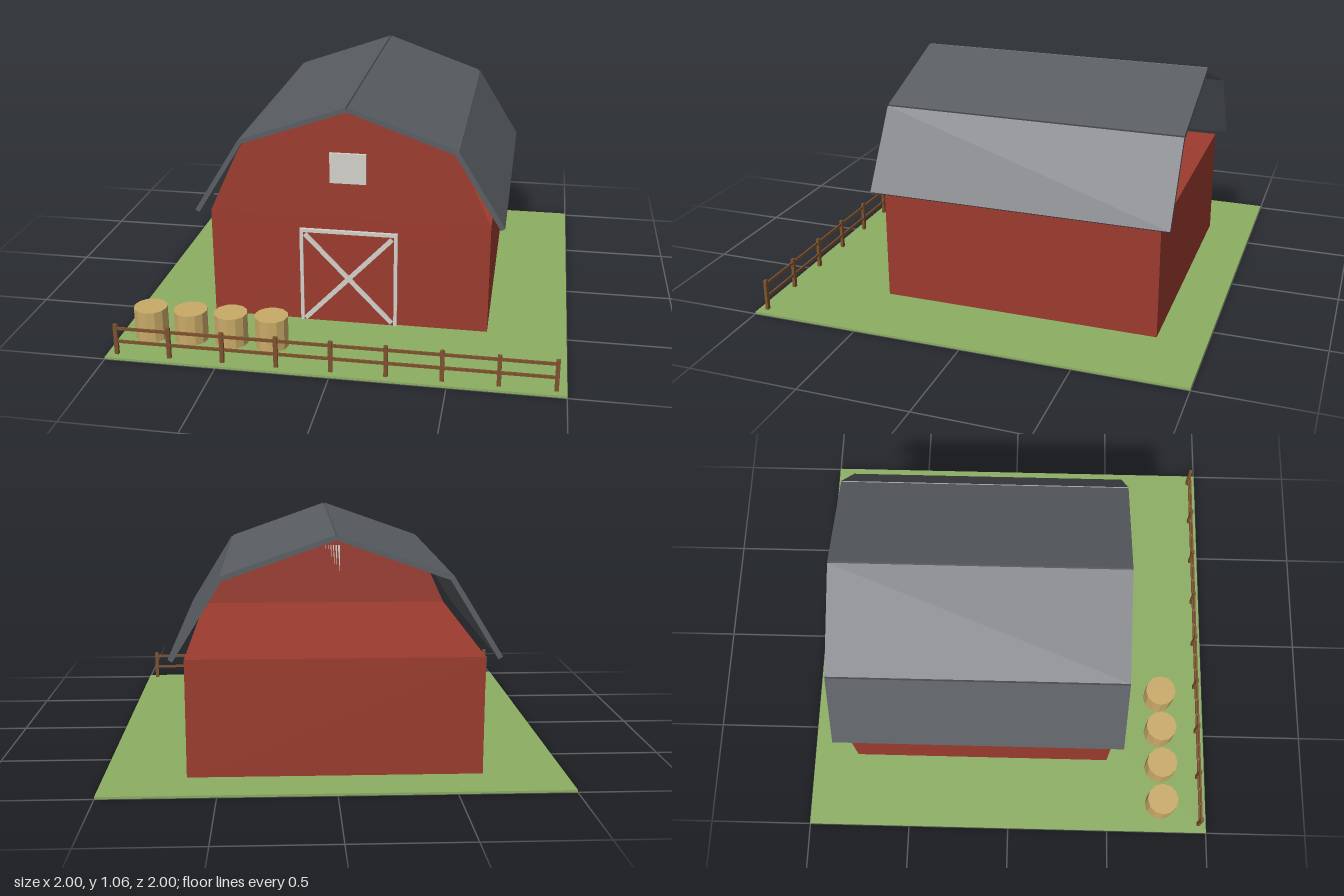
import * as THREE from 'three';

const material = (name, color, extra = {}) => {
  const m = new THREE.MeshStandardMaterial({ color, ...extra });
  m.name = name;
  return m;
};

export function createModel() {
  const red = material('barn red', 0x9c3b2e, { side: THREE.DoubleSide });
  const white = material('trim white', 0xd3d1ca);
  const slate = material('roof slate', 0x595d62);
  const grass = material('grass green', 0x8cae62);
  const straw = material('straw', 0xc9aa68, { flatShading: true });
  const wood = material('fence wood', 0x7d512d);

  const model = new THREE.Group();
  model.name = 'barnyard';

  const add = (name, geometry, mat, x, y, z, parent = model) => {
    const mesh = new THREE.Mesh(geometry, mat);
    mesh.name = name;
    mesh.position.set(x, y, z);
    parent.add(mesh);
    return mesh;
  };
  const box = (name, w, h, d, mat, x, y, z, parent) =>
    add(name, new THREE.BoxGeometry(w, h, d), mat, x, y, z, parent);
  const group = (name) => {
    const g = new THREE.Group();
    g.name = name;
    model.add(g);
    return g;
  };

  box('ground', 2, 0.01, 2, grass, 0, 0.005, 0);

  // Flat-topped body, with a gable sheet standing on its front edge
  box('barnBody', 1.28, 0.525, 1.28, red, 0, 0.2675, -0.14);
  const gable = new THREE.Shape([
    [-0.64, 0.53], [0.64, 0.53], [0.48, 0.875], [0, 1.035], [-0.48, 0.875],
  ].map(([x, y]) => new THREE.Vector2(x, y)));
  add('frontGable', new THREE.ShapeGeometry(gable), red, 0, 0, 0.5);

  // Four roof panels, each a board between two points of the section
  const roof = group('roof');
  const panel = (name, x1, y1, x2, y2) => {
    const length = Math.hypot(x2 - x1, y2 - y1);
    const board = box(name, length, 0.022, 1.37, slate, (x1 + x2) / 2, (y1 + y2) / 2, -0.145, roof);
    board.rotation.z = Math.atan2(y2 - y1, x2 - x1);
  };
  panel('upperRoofLeft', 0, 1.05, 0.48, 0.88);
  panel('upperRoofRight', -0.48, 0.88, 0, 1.05);
  panel('lowerRoofLeft', 0.481, 0.88, 0.693, 0.537);
  panel('lowerRoofRight', -0.693, 0.537, -0.481, 0.88);

  // Door with white frame and crossed boards
  const door = group('door');
  box('doorPanel', 0.42, 0.45, 0.008, red, 0, 0.235, 0.504, door);
  for (const side of [-1, 1]) {
    box('doorPost', 0.016, 0.46, 0.015, white, side * 0.217, 0.24, 0.5075, door);
    const brace = box('doorBrace', 0.58, 0.02, 0.012, white, 0, 0.235, 0.516 + side * 0.004, door);
    brace.rotation.z = side * Math.atan2(0.42, 0.4);
  }
  box('doorLintel', 0.45, 0.016, 0.015, white, 0, 0.462, 0.5075, door);

  box('loftWindow', 0.165, 0.14, 0.015, white, 0, 0.77, 0.5075);

  // Row of round bales
  const bales = group('hayBales');
  for (let i = 0; i < 4; i++) {
    add('hayBale', new THREE.CylinderGeometry(0.076, 0.076, 0.15, 12), straw,
      -0.86 + i * 0.186, 0.08, 0.77, bales);
  }

  // Fence along the front
  const fence = group('fence');
  for (let i = 0; i < 9; i++) {
    box('fencePost', 0.018, 0.15, 0.014, wood, -0.956 + i * 0.239, 0.08, 0.961, fence);
  }
  for (const y of [0.072, 0.135]) {
    box('fenceRail', 1.912, 0.013, 0.008, wood, 0, y, 0.961, fence);
  }

  return model;
}
